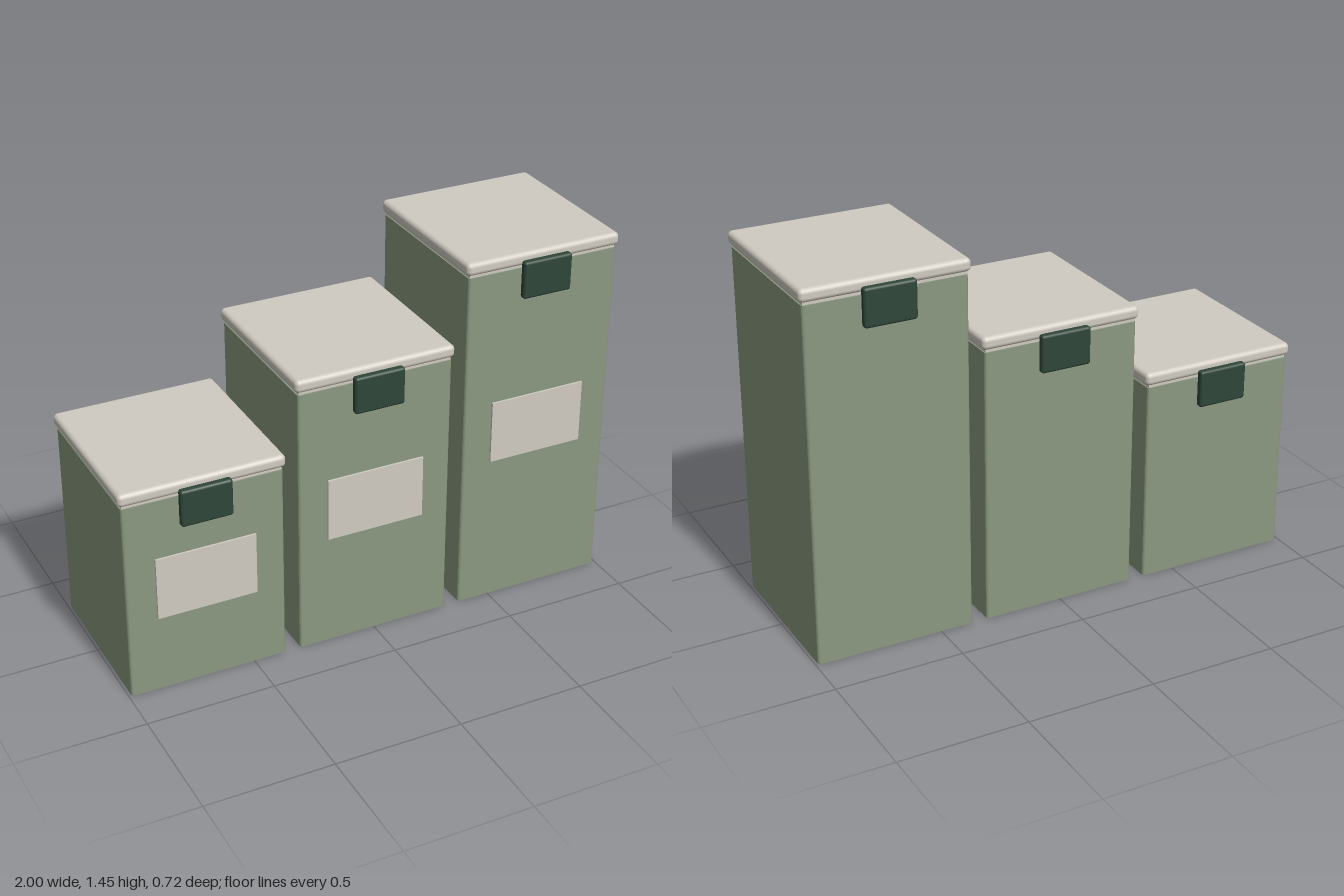
import * as THREE from 'three';
import { RoundedBoxGeometry } from 'three/addons/geometries/RoundedBoxGeometry.js';

const flat = (name, color) => {
  const m = new THREE.MeshStandardMaterial({ color });
  m.name = name;
  return m;
};

// Upright block with softened vertical edges and flat ends, base at y = 0
function canisterBody(w, h, d, r) {
  const x = w / 2, y = d / 2;
  const s = new THREE.Shape();
  s.absarc(x - r, y - r, r, 0, Math.PI / 2);
  s.absarc(-x + r, y - r, r, Math.PI / 2, Math.PI);
  s.absarc(-x + r, -y + r, r, Math.PI, Math.PI * 1.5);
  s.absarc(x - r, -y + r, r, Math.PI * 1.5, Math.PI * 2);
  s.closePath();
  return new THREE.ExtrudeGeometry(s, { depth: h, bevelEnabled: false, curveSegments: 4 }).rotateX(-Math.PI / 2);
}

export function createModel() {
  const sage = flat('sage green', 0x8a9980);
  const cream = flat('warm cream', 0xd0cbc1);
  const pine = flat('dark pine', 0x2f4639);

  const model = new THREE.Group();
  model.name = 'canisterSet';

  const add = (parent, name, geometry, material, x, y, z) => {
    const mesh = new THREE.Mesh(geometry, material);
    mesh.name = name;
    mesh.position.set(x, y, z);
    parent.add(mesh);
  };

  // Three canisters, rising from right to left; only height and label level vary
  const sizes = [
    { name: 'smallCanister', x: -0.68, top: 0.855, label: 0.435 },
    { name: 'mediumCanister', x: 0, top: 1.137, label: 0.577 },
    { name: 'tallCanister', x: 0.68, top: 1.445, label: 0.73 },
  ];

  for (const { name, x, top, label } of sizes) {
    const canister = new THREE.Group();
    canister.name = name;
    canister.position.x = x;
    model.add(canister);

    const bodyTop = top - 0.06;
    add(canister, 'body', canisterBody(0.62, bodyTop, 0.65, 0.012), sage, 0, 0, 0);

    // Seal between the body and the overhanging lid
    add(canister, 'lidSeal', new THREE.BoxGeometry(0.61, 0.03, 0.64), cream, 0, bodyTop + 0.005, 0);
    add(canister, 'lid', new RoundedBoxGeometry(0.64, 0.05, 0.666, 4, 0.018), cream, 0, top - 0.025, 0);

    // Clasps on the front and back
    for (const side of [1, -1]) {
      add(canister, side > 0 ? 'frontClasp' : 'backClasp',
        new RoundedBoxGeometry(0.2, 0.147, 0.032, 3, 0.011), pine, 0, top - 0.0985, side * 0.346);
    }

    // Blank label plate
    add(canister, 'label', new THREE.BoxGeometry(0.39, 0.25, 0.009), cream, 0, label, 0.329);
  }

  return model;
}
